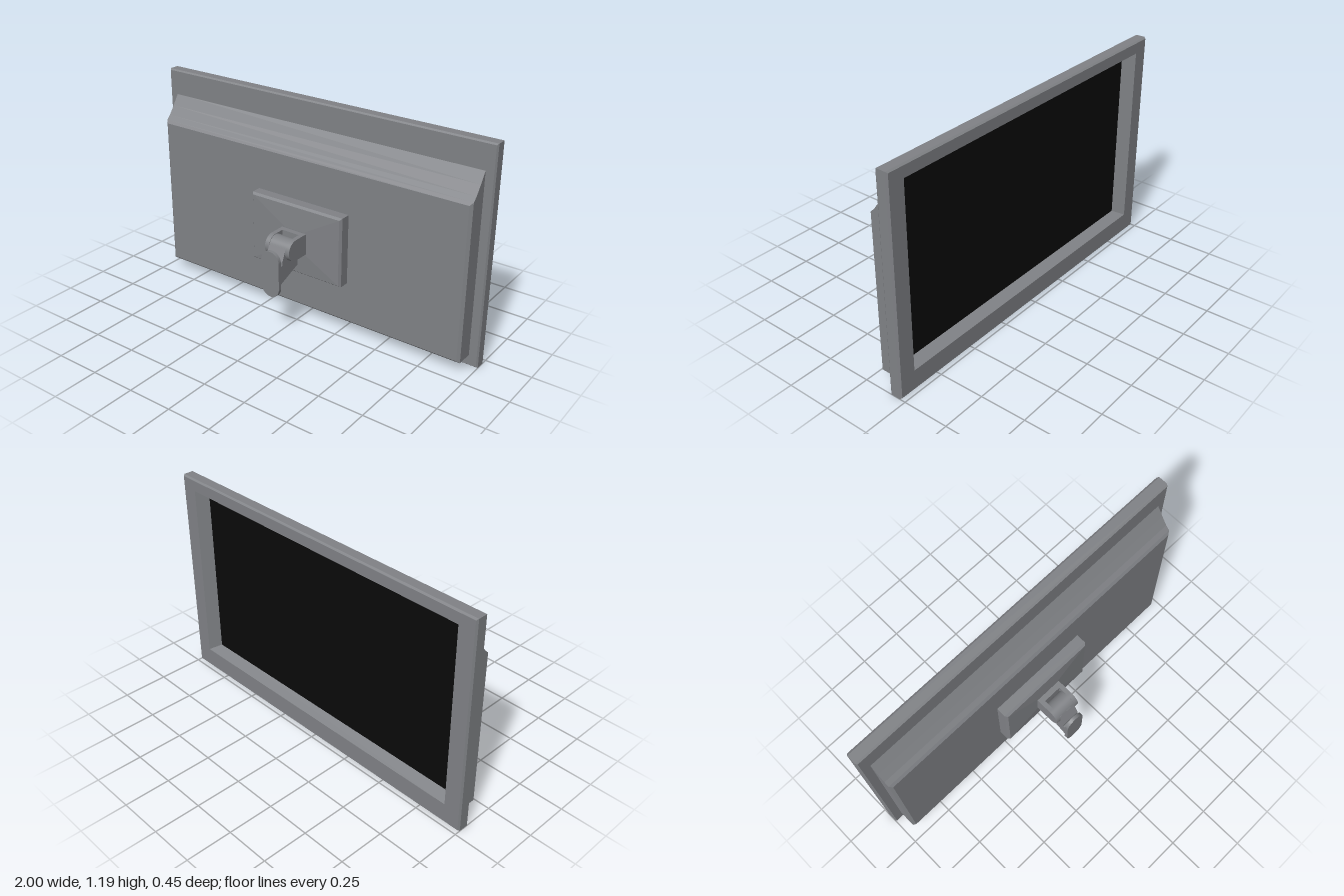
import * as THREE from 'three';

const grey = new THREE.MeshStandardMaterial({ color: 0x808286 });
grey.name = 'grey plastic';
const black = new THREE.MeshStandardMaterial({ color: 0x0a0a0a });
black.name = 'black screen';

// Joins rectangles [halfWidth, bottom, top, z], listed from front to back, and caps the first
function loftRects(rings) {
  const pos = [];
  const corners = rings.map(([w, b, t, z]) => [[-w, b, z], [w, b, z], [w, t, z], [-w, t, z]]);
  const quad = (a, b, c, d) => pos.push(...a, ...b, ...c, ...a, ...c, ...d);
  quad(...corners[0]);
  for (let r = 0; r < corners.length - 1; r++) {
    const a = corners[r], b = corners[r + 1];
    for (let i = 0; i < 4; i++) {
      const j = (i + 1) % 4;
      quad(a[i], b[i], b[j], a[j]);
    }
  }
  const geometry = new THREE.BufferGeometry();
  geometry.setAttribute('position', new THREE.Float32BufferAttribute(pos, 3));
  geometry.computeVertexNormals();
  return geometry;
}

// Extrudes a side profile drawn in (z, y) across x, centred on x
function extrudeSide(shape, width, x = 0) {
  const geometry = new THREE.ExtrudeGeometry(shape, { depth: width, bevelEnabled: false, curveSegments: 20 });
  geometry.translate(0, 0, -width / 2);
  geometry.rotateY(-Math.PI / 2);
  geometry.translate(x, 0, 0);
  return geometry;
}

const polygon = (points) => new THREE.Shape(points.map(([z, y]) => new THREE.Vector2(z, y)));

export function createModel() {
  const model = new THREE.Group();
  model.name = 'wallScreen';
  const add = (name, geometry, material = grey) => {
    const mesh = new THREE.Mesh(geometry, material);
    mesh.name = name;
    model.add(mesh);
    return mesh;
  };

  // Bezel: bevelled slab whose back face turns in to a sloping recess
  add('bezel', loftRects([
    [0.993, 0.007, 1.183, -0.156],
    [1, 0, 1.19, -0.165],
    [1, 0, 1.19, -0.217],
    [0.993, 0.007, 1.183, -0.227],
    [0.905, 0.113, 1.124, -0.227],
    [0.865, 0.135, 1.096, -0.165],
  ]));

  // Screen panel at the bottom of the recess
  const screen = add('screen', new THREE.PlaneGeometry(1.73, 0.961), black);
  screen.rotation.y = Math.PI;
  screen.position.set(0, 0.6155, -0.165);

  // Rear casing with a curved shoulder along its top
  add('casing', loftRects([
    [0.935, 0.075, 0.91, -0.05],
    [0.95, 0.063, 0.926, -0.062],
    [0.95, 0.063, 0.948, -0.085],
    [0.95, 0.063, 0.995, -0.119],
    [0.95, 0.063, 1.052, -0.157],
  ]));

  // Mounting pad, slightly raised towards the middle
  add('mountPad', loftRects([
    [0.06, 0.43, 0.55, 0.025],
    [0.274, 0.306, 0.674, 0.017],
    [0.285, 0.296, 0.684, 0.004],
    [0.285, 0.296, 0.684, -0.055],
  ]));

  // Clevis: base block and two round-ended lugs
  const hingeZ = 0.112, hingeY = 0.488, hingeR = 0.058;
  const base = add('clevisBase', new THREE.BoxGeometry(0.154, 2 * hingeR, 0.045));
  base.position.set(0, hingeY, 0.0325);
  const lug = new THREE.Shape();
  lug.moveTo(0.015, hingeY - hingeR);
  lug.lineTo(hingeZ, hingeY - hingeR);
  lug.absarc(hingeZ, hingeY, hingeR, -Math.PI / 2, Math.PI / 2, false);
  lug.lineTo(0.015, hingeY + hingeR);
  for (const side of [-1, 1]) {
    add(side > 0 ? 'leftLug' : 'rightLug', extrudeSide(lug, 0.025, side * 0.0645));
  }

  // Swivel arm: knuckle between the lugs, sloping to the wedge
  const arm = new THREE.Shape();
  arm.moveTo(0.075, 0.42);
  arm.lineTo(0.193, 0.42);
  arm.lineTo(0.193, 0.445);
  arm.lineTo(0.163, 0.51);
  arm.absarc(hingeZ, hingeY, 0.055, 0.42, Math.PI, false);
  add('swivelArm', extrudeSide(arm, 0.104));

  // Wedge under the knuckle, reaching the wall plate
  add('wedge', extrudeSide(polygon([[0.065, 0.38], [0.209, 0.322], [0.209, 0.426], [0.065, 0.426]]), 0.104));

  // Wall plate with round ends
  const capsule = new THREE.Shape();
  capsule.absarc(0, 0.449, 0.055, 0, Math.PI, false);
  capsule.absarc(0, 0.302, 0.055, Math.PI, 2 * Math.PI, false);
  const plate = add('wallPlate', new THREE.ExtrudeGeometry(capsule, { depth: 0.019, bevelEnabled: false, curveSegments: 20 }));
  plate.position.z = 0.208;

  return model;
}
